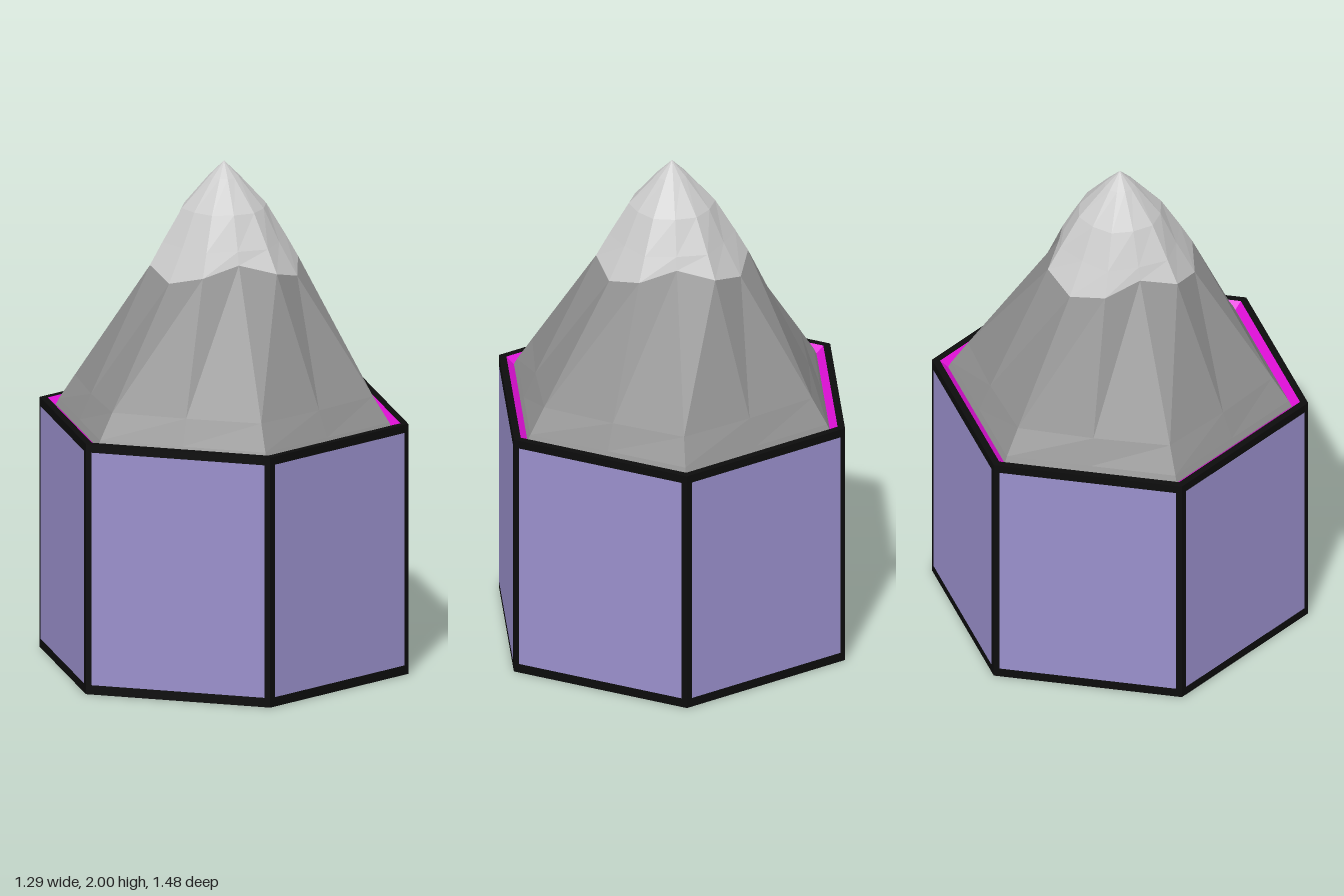
import * as THREE from 'three';

const H = Math.sqrt(3) / 2;

// Point at a polar angle, measured from +z towards +x
const polar = (r, y, a) => [r * Math.sin(a), y, r * Math.cos(a)];

// Flat-shaded surface through closed rings of points, ordered from bottom to top
function loft(name, rings, color) {
  const pos = [];
  for (let i = 0; i < rings.length - 1; i++) {
    const lo = rings[i], hi = rings[i + 1], n = lo.length;
    for (let k = 0; k < n; k++) {
      const j = (k + 1) % n;
      pos.push(...lo[k], ...lo[j], ...hi[j], ...lo[k], ...hi[j], ...hi[k]);
    }
  }
  const geo = new THREE.BufferGeometry();
  geo.setAttribute('position', new THREE.Float32BufferAttribute(pos, 3));
  geo.computeVertexNormals();
  const mesh = new THREE.Mesh(geo, new THREE.MeshStandardMaterial({ color, flatShading: true, side: THREE.DoubleSide }));
  mesh.name = name;
  return mesh;
}

const hexRing = (r, y) => Array.from({ length: 6 }, (_, k) => polar(r, y, k * Math.PI / 3));

// Twelve-point ring: corners alternate between two [radius, height] pairs, face middles use a third
const rockRing = (cornerA, cornerB, middle) => Array.from({ length: 12 }, (_, k) => {
  const [r, y] = k % 2 ? middle : k % 4 ? cornerB : cornerA;
  return polar(r, y, k * Math.PI / 6);
});
const evenRing = (corner, middle, y) => rockRing([corner, y], [corner, y], [middle, y]);

export function createModel() {
  const model = new THREE.Group();
  model.name = 'mountainTile';
  const R = 0.742;

  // Black frame: outer walls and flat top rim
  model.add(loft('frame', [hexRing(R, 0), hexRing(R, 1), hexRing(0.71, 1)], 0x0c0c0c));

  // Sloping inner lip around the mountain
  model.add(loft('innerLip', [hexRing(0.71, 1), hexRing(0.672, 0.97)], 0xe010d8));

  // Underside
  const base = new THREE.Mesh(
    new THREE.CircleGeometry(R, 6, Math.PI / 2),
    new THREE.MeshStandardMaterial({ color: 0xcccccc })
  );
  base.name = 'underside';
  base.rotation.x = Math.PI / 2;
  model.add(base);

  // Side panels, set a hair proud of the frame
  const panelMat = new THREE.MeshStandardMaterial({ color: 0x9a90cc });
  const panels = new THREE.Group();
  panels.name = 'sidePanels';
  for (let k = 0; k < 6; k++) {
    const a = Math.PI / 6 + k * Math.PI / 3;
    const panel = new THREE.Mesh(new THREE.PlaneGeometry(R - 0.046, 0.93), panelMat);
    panel.name = 'sidePanel';
    panel.position.set(...polar(R * H + 0.002, 0.503, a));
    panel.rotation.y = a;
    panels.add(panel);
  }
  model.add(panels);

  // Rock slopes and lighter peak share the jagged snow line
  const snowLine = rockRing([0.24, 1.64], [0.295, 1.56], [0.295, 1.6]);
  model.add(loft('mountainSlopes', [
    evenRing(0.68, 0.68 * H, 0.97),
    evenRing(0.665, 0.665 * H, 1),
    evenRing(0.6, 0.53, 1.1),
    snowLine
  ], 0x929292));
  model.add(loft('snowCap', [
    snowLine,
    evenRing(0.222, 0.245, 1.69),
    evenRing(0.16, 0.168, 1.82),
    evenRing(0.06, 0.06, 1.94),
    evenRing(0, 0, 2)
  ], 0xcccccc));

  return model;
}
